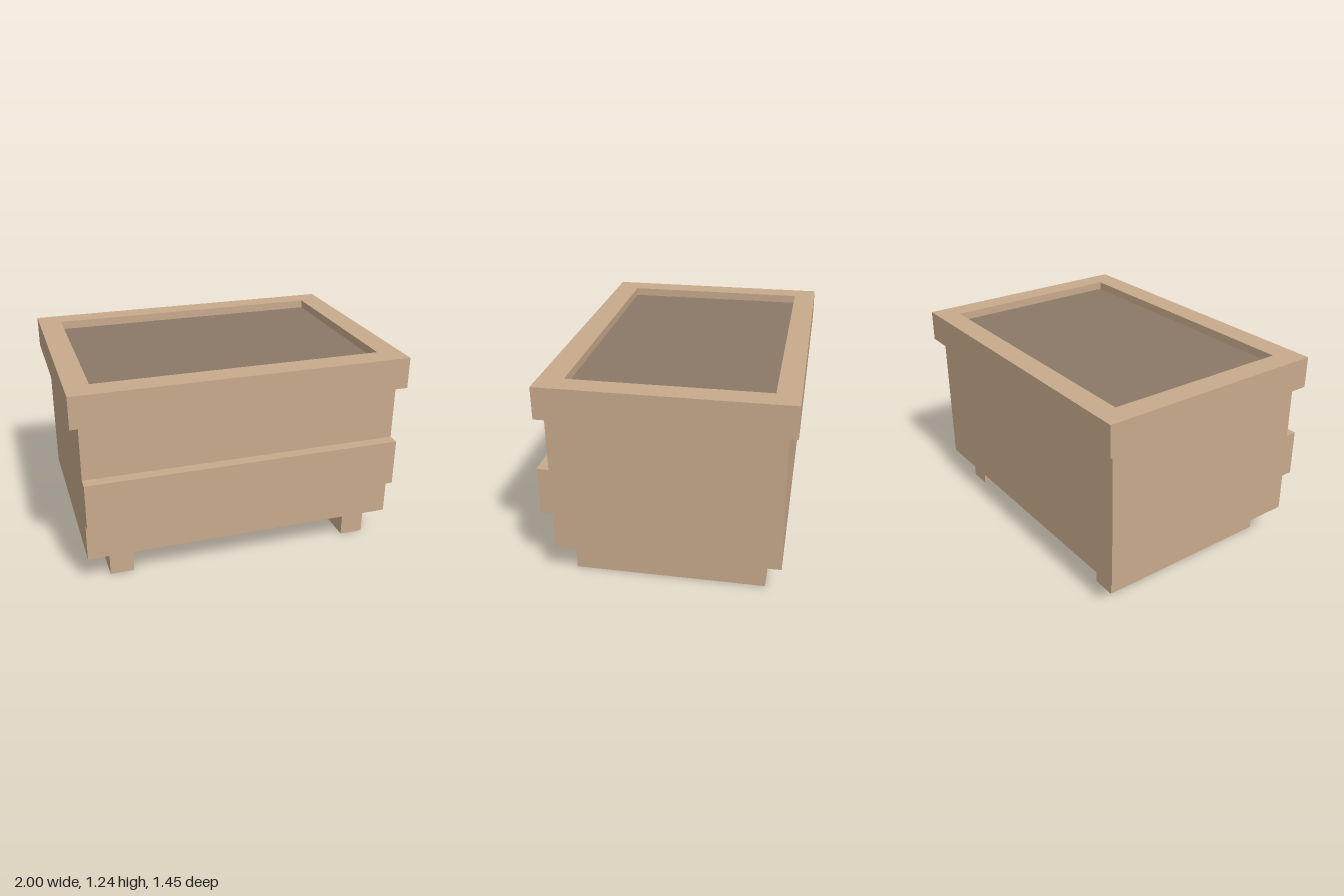
import * as THREE from 'three';

export function createModel() {
  const group = new THREE.Group();
  const wood = new THREE.MeshStandardMaterial({ name: 'paleWood', color: 0xc8aa8c });
  const soil = new THREE.MeshStandardMaterial({ name: 'soil', color: 0x8b7967 });

  // Box given by its extents on each axis
  function box(name, material, [x0, x1], [y0, y1], [z0, z1]) {
    const mesh = new THREE.Mesh(new THREE.BoxGeometry(x1 - x0, y1 - y0, z1 - z0), material);
    mesh.position.set((x0 + x1) / 2, (y0 + y1) / 2, (z0 + z1) / 2);
    mesh.name = name;
    group.add(mesh);
  }

  // Crate, front band and runners
  box('crateBody', wood, [-0.95, 0.95], [0.195, 1.05], [-0.675, 0.655]);
  box('frontBand', wood, [-0.95, 0.95], [0.43, 0.715], [0.655, 0.725]);
  box('rightRunner', wood, [-0.81, -0.665], [0, 0.195], [-0.58, 0.56]);
  box('leftRunner', wood, [0.712, 0.857], [0, 0.195], [-0.58, 0.56]);

  // Rim frame: drawn in plan (shape y = -z) and extruded upwards
  const rectangle = (Type, x, back, front) => new Type([
    new THREE.Vector2(-x, -front), new THREE.Vector2(x, -front),
    new THREE.Vector2(x, -back), new THREE.Vector2(-x, -back),
  ]);
  const outline = rectangle(THREE.Shape, 1, -0.725, 0.7);
  outline.holes.push(rectangle(THREE.Path, 0.86, -0.59, 0.555));
  const rimGeometry = new THREE.ExtrudeGeometry(outline, { depth: 0.19, bevelEnabled: false });
  rimGeometry.rotateX(-Math.PI / 2);
  const rim = new THREE.Mesh(rimGeometry, wood);
  rim.position.y = 1.05;
  rim.name = 'rim';
  group.add(rim);

  // Filling, slightly below the rim
  box('soilFill', soil, [-0.86, 0.86], [1.05, 1.19], [-0.59, 0.555]);

  return group;
}
